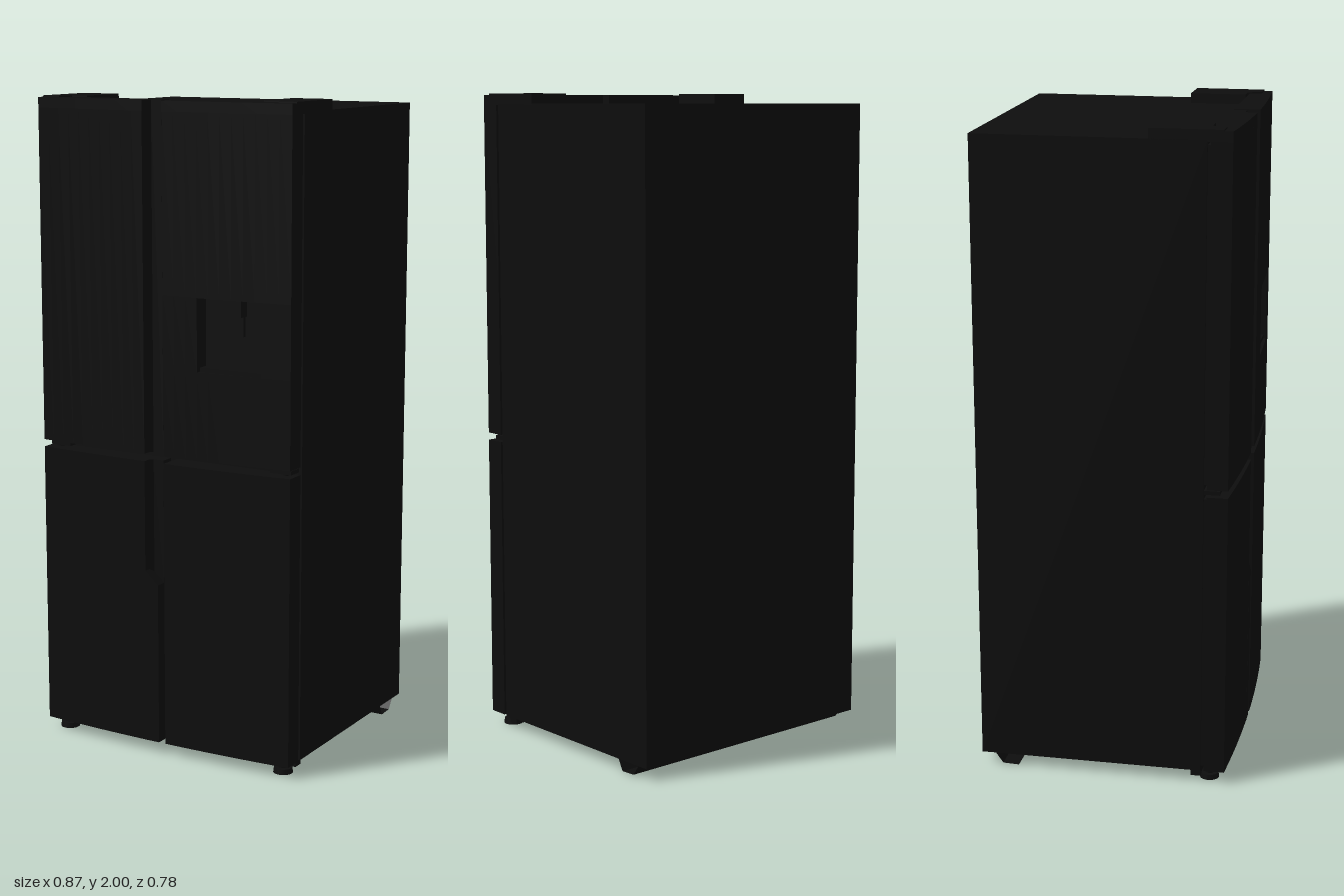
import * as THREE from 'three';

const W = 0.435, BACK = 0.308, GAP_L = -0.01, GAP_R = 0.013;
const black = new THREE.MeshStandardMaterial({ color: 0x0d0d0d });
const blackThin = new THREE.MeshStandardMaterial({ color: 0x0d0d0d, side: THREE.DoubleSide });

// Gently bowed front of the doors
const bow = (x) => 0.388 - 0.09 * x * x;

function add(parent, name, geometry, x = 0, y = 0, z = 0, material = black) {
  const mesh = new THREE.Mesh(geometry, material);
  mesh.name = name;
  mesh.position.set(x, y, z);
  parent.add(mesh);
  return mesh;
}

// Box given by its limits
function block(parent, name, x0, x1, y0, y1, z0, z1) {
  return add(parent, name, new THREE.BoxGeometry(x1 - x0, y1 - y0, z1 - z0),
    (x0 + x1) / 2, (y0 + y1) / 2, (z0 + z1) / 2);
}

// Plan outline of [x, z] points raised from y0 to y1
function plan(parent, name, points, y0, y1) {
  const shape = new THREE.Shape(points.map(([x, z]) => new THREE.Vector2(x, -z)));
  const geometry = new THREE.ExtrudeGeometry(shape, { depth: y1 - y0, bevelEnabled: false });
  geometry.rotateX(-Math.PI / 2);
  return add(parent, name, geometry, 0, y0, 0);
}

// Door panel with a flat back and a bowed front
function panel(parent, name, x0, x1, y0, y1) {
  const points = [[x1, BACK], [x0, BACK]];
  const n = Math.max(2, Math.ceil((x1 - x0) / 0.04));
  for (let i = 0; i <= n; i++) {
    const x = x0 + (x1 - x0) * i / n;
    points.push([x, bow(x)]);
  }
  return plan(parent, name, points, y0, y1);
}

// Recessed grip along the inner edge of the left-hand doors
function grip(parent, y0, y1) {
  plan(parent, 'gripRecess', [[GAP_L, BACK], [-0.055, BACK], [-0.055, 0.365],
    [-0.045, 0.352], [GAP_L, 0.352]], y0, y1);
}

export function createModel() {
  const model = new THREE.Group();
  model.name = 'refrigerator';

  // Cabinet
  block(model, 'cabinet', -W, W, 0.037, 1.97, -0.39, 0.298);

  const lowY = [0.037, 0.922], highY = [0.945, 1.965], top = 1.996;
  const doors = {};
  for (const name of ['upperLeftDoor', 'upperRightDoor', 'lowerLeftDoor', 'lowerRightDoor']) {
    doors[name] = new THREE.Group();
    doors[name].name = name;
    model.add(doors[name]);
  }

  // Upper door on the grip side
  panel(doors.upperRightDoor, 'doorPanel', -W, -0.055, ...highY);
  grip(doors.upperRightDoor, highY[0], top);

  // Upper door with the dispenser opening
  const d = { x0: 0.13, x1: 0.34, y0: 1.21, y1: 1.43 };
  const up = doors.upperLeftDoor;
  panel(up, 'doorPanelBelow', GAP_R, W, highY[0], d.y0);
  panel(up, 'doorPanelAbove', GAP_R, W, d.y1, highY[1]);
  panel(up, 'doorPanelInner', GAP_R, d.x0, d.y0, d.y1);
  panel(up, 'doorPanelOuter', d.x1, W, d.y0, d.y1);
  block(up, 'dispenserBack', d.x0, d.x1, d.y0, d.y1, BACK, 0.335);
  block(up, 'dispenserSpout', 0.21, 0.27, 1.38, d.y1, 0.335, 0.37);
  block(up, 'dispenserPaddle', 0.215, 0.265, 1.32, 1.38, 0.335, 0.348);
  block(up, 'dispenserTray', d.x0, d.x1, d.y0, d.y0 + 0.012, 0.335, 0.37);

  // Door tops, cut back around the hinge covers
  for (const [door, s, inner] of [[doors.upperRightDoor, -1, 0.055], [up, 1, GAP_R]]) {
    const points = [[inner, BACK], [0.36, BACK], [0.376, 0.345], [W, 0.345]];
    for (let i = 0; i <= 8; i++) {
      const x = W + (inner - W) * i / 8;
      points.push([x, bow(x)]);
    }
    plan(door, 'doorTop', points.map(([x, z]) => [s * x, z]), highY[1], top);
  }

  // Lower doors; the grip ends in a slanted edge
  panel(doors.lowerLeftDoor, 'doorPanel', GAP_R, W, ...lowY);
  const low = doors.lowerRightDoor;
  panel(low, 'doorPanel', -W, -0.055, ...lowY);
  const slant = new THREE.Shape([[-0.055, lowY[0]], [GAP_L, lowY[0]], [GAP_L, 0.54], [-0.055, 0.58]]
    .map((p) => new THREE.Vector2(...p)));
  add(low, 'gripEnd', new THREE.ExtrudeGeometry(slant, { depth: bow(0) - BACK, bevelEnabled: false }),
    0, 0, BACK);
  grip(low, 0.54, lowY[1]);

  for (const s of [-1, 1]) {
    // Seals between the doors and the cabinet
    for (const [y0, y1] of [[0.05, 0.912], [0.957, 1.955]]) {
      const x = [s * 0.02, s * 0.425].sort((a, b) => a - b);
      block(model, 'doorSeal', x[0], x[1], y0, y1, 0.296, 0.31);
    }

    // Hinge covers and middle hinges
    plan(model, 'hingeCover', [[0.305, 0.13], [W, 0.13], [W, 0.345], [0.376, 0.345],
      [0.36, 0.302], [0.305, 0.302]].map(([x, z]) => [s * x, z]), 1.965, 2);
    const hinge = add(model, 'middleHinge', new THREE.BoxGeometry(0.07, 0.012, 0.05), s * 0.39, 0.933, 0.321);
    hinge.geometry.computeBoundingBox();
    add(model, 'hingePin', new THREE.CylinderGeometry(0.01, 0.01, 0.03, 12), s * 0.4, 0.933, 0.33);

    // Front feet
    add(model, 'footPad', new THREE.CylinderGeometry(0.028, 0.03, 0.016, 20), s * 0.39, 0.008, 0.32);
    add(model, 'footStem', new THREE.CylinderGeometry(0.014, 0.014, 0.026, 12), s * 0.39, 0.027, 0.32);
    block(model, 'footBracket', s * 0.39 - 0.03, s * 0.39 + 0.03, 0.012, 0.04, 0.265, 0.297);
  }

  // Rear support rail, open at its ends
  const profile = [[-0.35, 0.037], [-0.325, 0.002], [-0.275, 0], [-0.255, 0.037]];
  const pos = [], index = [];
  profile.forEach(([z, y], i) => {
    pos.push(-0.43, y, z, 0.43, y, z);
    if (i) index.push(2 * i - 2, 2 * i - 1, 2 * i, 2 * i - 1, 2 * i + 1, 2 * i);
  });
  let rail = new THREE.BufferGeometry();
  rail.setAttribute('position', new THREE.Float32BufferAttribute(pos, 3));
  rail.setIndex(index);
  rail = rail.toNonIndexed();
  rail.computeVertexNormals();
  add(model, 'rearRail', rail, 0, 0, 0, blackThin);

  return model;
}
